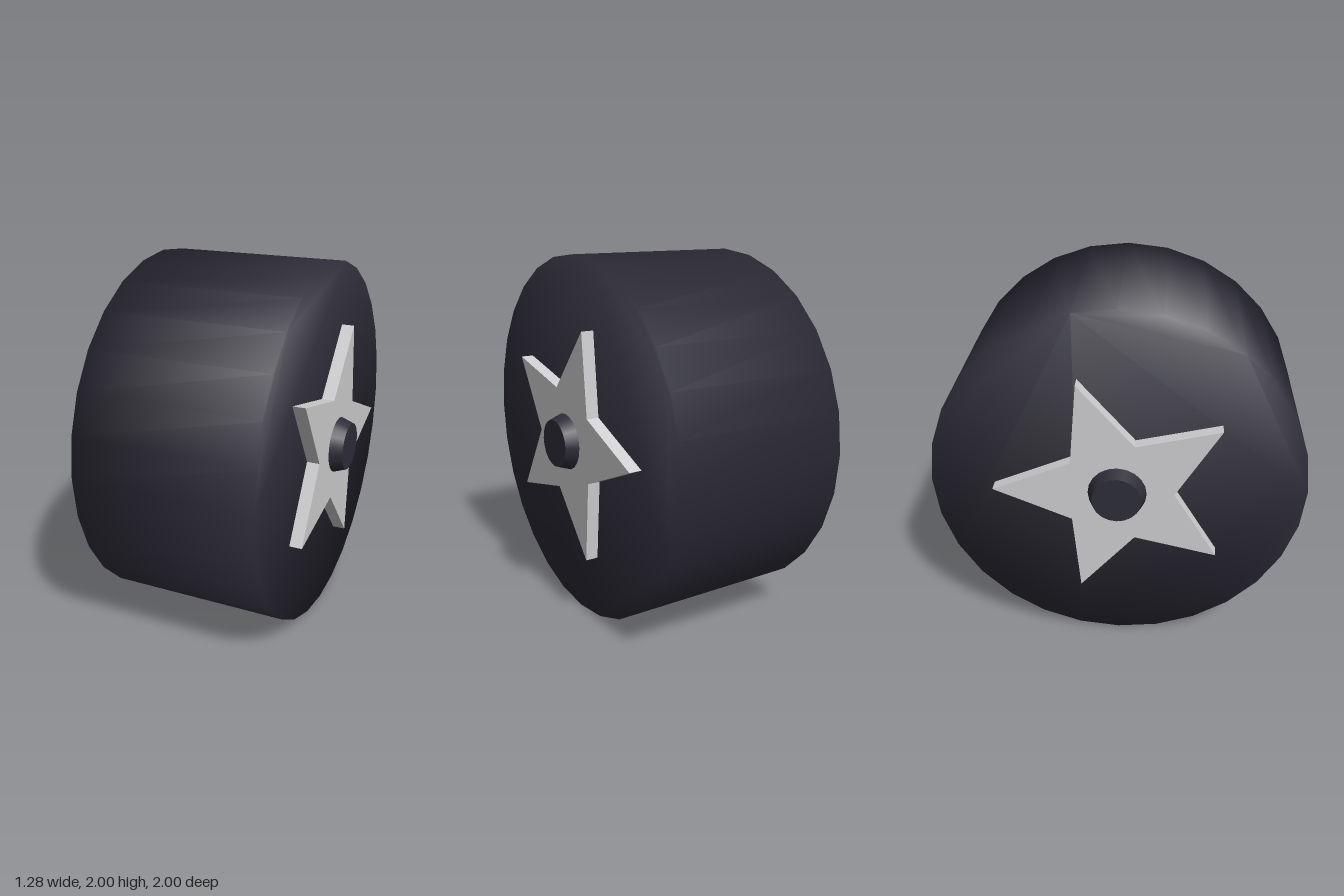
import * as THREE from 'three';
import { mergeVertices } from 'three/addons/utils/BufferGeometryUtils.js';

// Closed outline of n points; radius alternates through the given list
function outline(n, radii) {
  const pts = [];
  for (let i = 0; i < n; i++) {
    const a = (i / n) * Math.PI * 2, r = radii[i % radii.length];
    pts.push(new THREE.Vector2(r * Math.cos(a), r * Math.sin(a)));
  }
  return new THREE.Shape(pts);
}

// Extrude an outline along +x, starting at x = 0
function extrudeX(shape, depth) {
  return new THREE.ExtrudeGeometry(shape, { depth, bevelEnabled: false }).rotateY(Math.PI / 2);
}

export function createModel() {
  const rubber = new THREE.MeshStandardMaterial({ name: 'dark rubber', color: 0x2e2d39 });
  const metal = new THREE.MeshStandardMaterial({ name: 'light metal', color: 0xcfcfd1 });

  const model = new THREE.Group();
  model.name = 'wheel';

  const add = (parent, name, geometry, material) => {
    const mesh = new THREE.Mesh(geometry, material);
    mesh.name = name;
    parent.add(mesh);
    return mesh;
  };

  // Tyre: 28-sided drum, shading blended softly over its rims
  let tyre = extrudeX(outline(28, [1]), 1).translate(-0.5, 0, 0);
  tyre.deleteAttribute('normal');
  tyre.deleteAttribute('uv');
  tyre = mergeVertices(tyre, 1e-4);
  const p = tyre.attributes.position;
  const normals = new Float32Array(p.count * 3);
  const n = new THREE.Vector3();
  for (let i = 0; i < p.count; i++) {
    n.fromBufferAttribute(p, i);
    n.x *= 2;
    n.normalize().toArray(normals, i * 3);
  }
  tyre.setAttribute('normal', new THREE.BufferAttribute(normals, 3));
  add(model, 'tyre', tyre, rubber).position.y = 1;

  // Star plate and tapered hub cap, the same on both sides
  const star = extrudeX(outline(10, [0.66, 0.3]), 0.07).translate(0.5, 0, 0);
  const hub = new THREE.CylinderGeometry(0.13, 0.155, 0.07, 20)
    .rotateZ(-Math.PI / 2).translate(0.605, 0, 0);
  for (const [side, turn] of [['left', 0], ['right', Math.PI]]) {
    const group = new THREE.Group();
    group.name = side + 'HubAssembly';
    group.position.y = 1;
    group.rotation.z = turn;
    add(group, side + 'StarPlate', star, metal);
    add(group, side + 'HubCap', hub, rubber);
    model.add(group);
  }
  return model;
}
